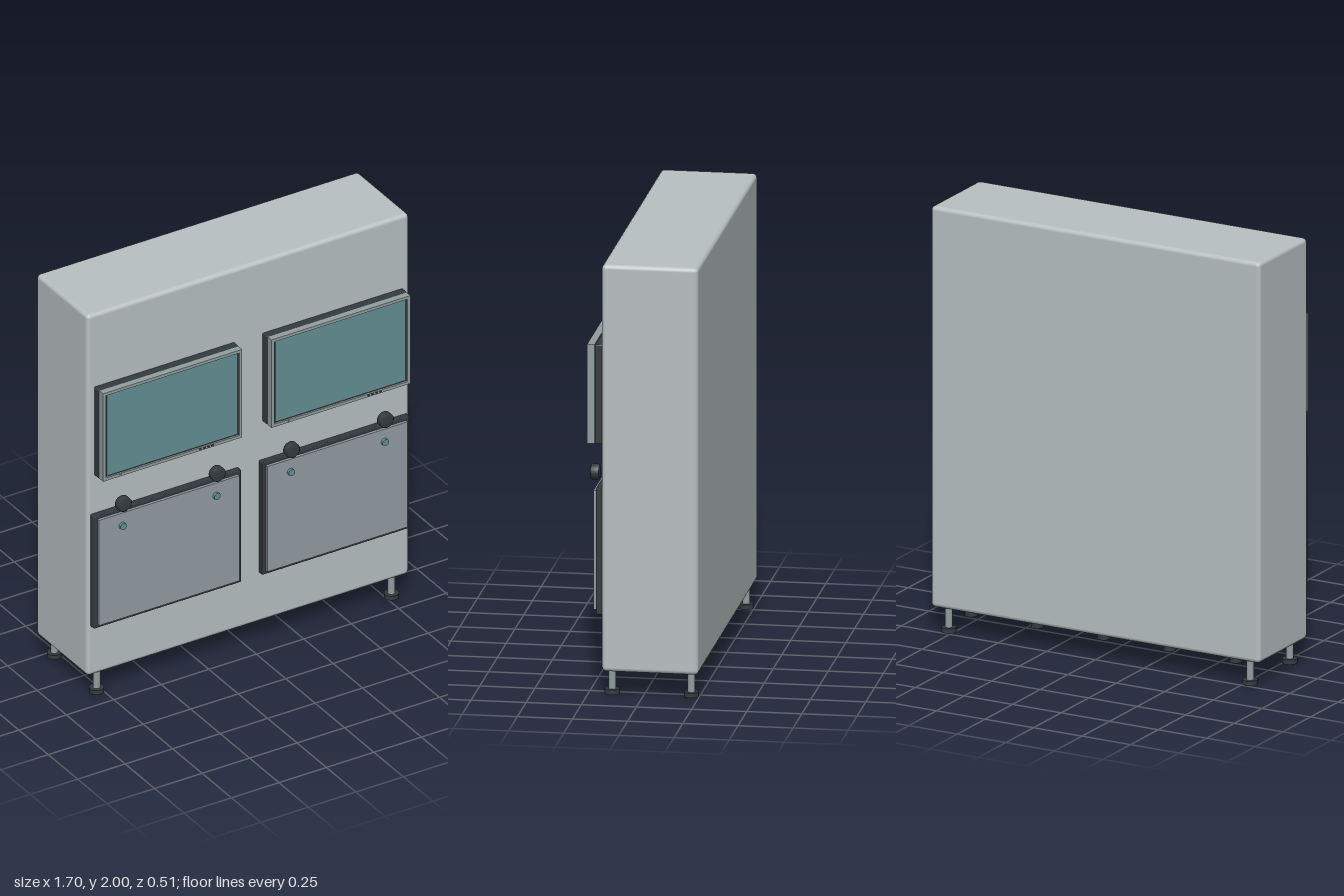
import * as THREE from 'three';
import { RoundedBoxGeometry } from 'three/addons/geometries/RoundedBoxGeometry.js';

const mat = (name, color) => {
  const m = new THREE.MeshStandardMaterial({ color });
  m.name = name;
  return m;
};

export function createModel() {
  const shell = mat('pale grey shell', 0xb8c0c1);
  const dark = mat('dark trim', 0x343b40);
  const metal = mat('grey metal', 0x929e9f);
  const door = mat('blue grey panel', 0x929ba2);
  const glass = mat('teal glass', 0x648f95);

  const root = new THREE.Group();
  root.name = 'cabinet';
  const add = (parent, name, geo, material, x, y, z) => {
    const m = new THREE.Mesh(geo, material);
    m.name = name;
    m.position.set(x, y, z);
    parent.add(m);
    return m;
  };
  // box given by centre x/y and its z range
  const slab = (parent, name, w, h, z0, z1, material, x, y, r = 0) => {
    const d = z1 - z0;
    const geo = r ? new RoundedBoxGeometry(w, h, d, 2, r) : new THREE.BoxGeometry(w, h, d);
    return add(parent, name, geo, material, x, y, (z0 + z1) / 2);
  };
  // disc with axis along z
  const disc = (parent, name, r, z0, z1, material, x, y) => {
    const geo = new THREE.CylinderGeometry(r, r, z1 - z0, 24).rotateX(Math.PI / 2);
    return add(parent, name, geo, material, x, y, (z0 + z1) / 2);
  };
  // rectangular ring, extruded forward from z = 0
  const frame = (w, h, t, depth) => {
    const s = new THREE.Shape();
    s.moveTo(-w / 2, -h / 2).lineTo(w / 2, -h / 2).lineTo(w / 2, h / 2).lineTo(-w / 2, h / 2).closePath();
    const p = new THREE.Path();
    const a = w / 2 - t, b = h / 2 - t;
    p.moveTo(-a, -b).lineTo(-a, b).lineTo(a, b).lineTo(a, -b).closePath();
    s.holes.push(p);
    return new THREE.ExtrudeGeometry(s, { depth, bevelEnabled: false });
  };

  // main body
  slab(root, 'body', 1.696, 1.885, -0.255, 0.183, shell, 0, 1.0575, 0.02);

  // two identical bays: monitor above, door below
  for (const [name, cx] of [['rightBay', -0.443], ['leftBay', 0.443]]) {
    const bay = new THREE.Group();
    bay.name = name;
    bay.position.x = cx;
    root.add(bay);

    // monitor
    slab(bay, 'monitorHousing', 0.738, 0.462, 0.18, 0.219, dark, 0, 1.39, 0.006);
    slab(bay, 'monitorBack', 0.72, 0.445, 0.219, 0.238, metal, 0, 1.39);
    add(bay, 'monitorBezel', frame(0.732, 0.46, 0.015, 0.034), metal, 0, 1.39, 0.22);
    slab(bay, 'screenSurround', 0.702, 0.43, 0.238, 0.245, dark, 0, 1.39);
    slab(bay, 'screen', 0.684, 0.42, 0.244, 0.248, glass, 0, 1.393);
    for (let i = 0; i < 4; i++) {
      disc(bay, 'monitorButton', 0.006, 0.25, 0.257, dark, 0.146 + i * 0.021, 1.169);
    }
    disc(bay, 'statusLight', 0.005, 0.25, 0.257, glass, -0.274, 1.169);

    // door
    slab(bay, 'doorFrame', 0.776, 0.586, 0.18, 0.211, dark, 0, 0.668, 0.004);
    slab(bay, 'doorPanel', 0.738, 0.55, 0.205, 0.225, door, 0, 0.669);
    for (const x of [-0.248, 0.246]) {
      disc(bay, 'doorStud', 0.017, 0.22, 0.238, glass, x, 0.88);
      const k = [[0, 0], [0.03, 0], [0.036, 0.006], [0.036, 0.034], [0.03, 0.04], [0, 0.04]];
      const knob = new THREE.LatheGeometry(k.map(([r, y]) => new THREE.Vector2(r, y)), 24);
      add(bay, 'knob', knob.rotateX(Math.PI / 2), dark, x, 1, 0.215);
    }
  }

  // levelling feet
  for (const x of [-0.776, 0.776]) {
    for (const z of [0.145, -0.214]) {
      add(root, 'legPost', new THREE.CylinderGeometry(0.017, 0.017, 0.105, 20), metal, x, 0.07, z);
      add(root, 'footPad', new THREE.CylinderGeometry(0.034, 0.034, 0.022, 24), dark, x, 0.011, z);
    }
  }

  // row of plugs under the rear edge
  for (let i = -2; i <= 2; i++) {
    add(root, 'bottomPlug', new THREE.CylinderGeometry(0.029, 0.029, 0.04, 20), dark, i * 0.341, 0.1, -0.177);
  }

  return root;
}
